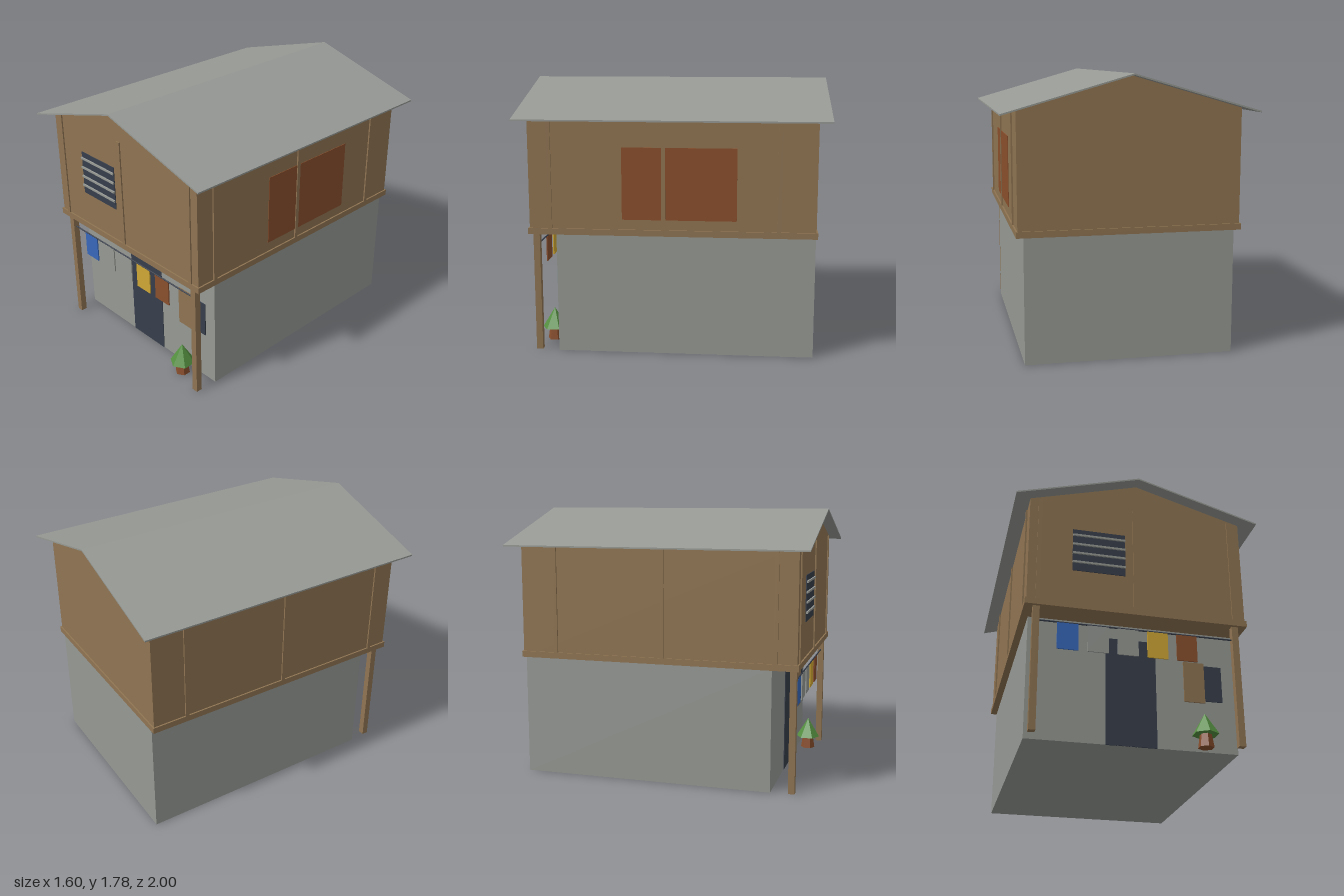
import * as THREE from 'three';

const material = (name, color) => {
  const m = new THREE.MeshStandardMaterial({ color });
  m.name = name;
  return m;
};

export function createModel() {
  const group = new THREE.Group();
  const grey = material('concreteGrey', 0x969994);
  const wood = material('wood', 0x8f7452);
  const rust = material('rust', 0x8a4f2d);
  const dark = material('darkSlate', 0x373e4b);
  const blue = material('blueCloth', 0x3768bb);
  const yellow = material('yellowCloth', 0xd0a835);
  const green = material('leafGreen', 0x548f40);

  const add = (name, geometry, mat) => {
    const mesh = new THREE.Mesh(geometry, mat);
    mesh.name = name;
    group.add(mesh);
    return mesh;
  };
  // Box given by its limits on each axis
  const box = (name, mat, [x0, x1], [y0, y1], [z0, z1]) => {
    const mesh = add(name, new THREE.BoxGeometry(x1 - x0, y1 - y0, z1 - z0), mat);
    mesh.position.set((x0 + x1) / 2, (y0 + y1) / 2, (z0 + z1) / 2);
    return mesh;
  };
  const around = (c, w) => [c - w / 2, c + w / 2];
  // Front outline extruded evenly about z = 0
  const prism = (name, mat, points, depth) => {
    const shape = new THREE.Shape(points.map(([x, y]) => new THREE.Vector2(x, y)));
    const geometry = new THREE.ExtrudeGeometry(shape, { depth, bevelEnabled: false });
    return add(name, geometry.translate(0, 0, -depth / 2), mat);
  };

  // Main masses
  box('groundFloor', grey, [-0.665, 0.665], [0, 0.805], [-0.92, 0.755]);
  prism('upperFloor', wood, [[-0.7, 0.8], [0.7, 0.8], [0.7, 1.566], [0, 1.767], [-0.7, 1.566]], 1.84);
  box('floorBeam', wood, [-0.71, 0.71], [0.8, 0.84], [-0.93, 0.93]);
  prism('roof', grey, [[-0.8, 1.54], [0, 1.77], [0.8, 1.54], [0.8, 1.55], [0, 1.78], [-0.8, 1.55]], 2);

  // Porch posts and wall battens
  for (const side of [-1, 1]) {
    box('porchPost', wood, around(side * 0.635, 0.042), [0, 0.8], [0.868, 0.91]);
    for (const z of [0.785, 0.05, -0.685])
      box('sideBatten', wood, around(side * 0.701, 0.018), [0.84, 1.558], around(z, 0.026));
  }
  for (const x of [-0.632, -0.015, 0.63])
    box('frontBatten', wood, around(x, 0.027), [0.84, 1.57], [0.91, 0.929]);

  // Upper window with bars
  box('upperWindow', dark, [-0.42, -0.08], [1.07, 1.37], [0.917, 0.925]);
  for (const y of [1.13, 1.195, 1.26, 1.327])
    box('windowBar', grey, [-0.42, -0.08], around(y, 0.013), [0.923, 0.935]);

  // Side shutters
  box('sideShutter', rust, [0.697, 0.704], [0.905, 1.37], [-0.417, 0.317]);

  // Ground floor openings
  box('door', dark, [-0.17, 0.15], [0, 0.705], [0.751, 0.759]);
  box('lowerWindow', dark, [0.35, 0.58], [0.335, 0.575], [0.753, 0.761]);
  box('openShutter', wood, [0.33, 0.465], [0.32, 0.59], [0.757, 0.766]);

  // Washing line
  const line = add('washingLine', new THREE.CylinderGeometry(0.005, 0.005, 1.23, 6), dark);
  line.rotation.z = Math.PI / 2;
  line.position.set(0, 0.713, 0.89);
  [blue, grey, grey, yellow, rust].forEach((mat, i) =>
    box('cloth', mat, around(-0.436 + i * 0.188, 0.132), [0.535, 0.71], around(0.89, 0.008)));

  // Potted tree
  const pot = add('treeBase', new THREE.CylinderGeometry(0.037, 0.05, 0.086, 6).toNonIndexed(), rust);
  pot.position.set(0.431, 0.043, 0.834);
  const crown = add('treeCrown', new THREE.ConeGeometry(0.084, 0.137, 6).toNonIndexed(), green);
  crown.position.set(0.431, 0.152, 0.834);
  for (const mesh of [pot, crown]) mesh.geometry.computeVertexNormals();

  return group;
}
